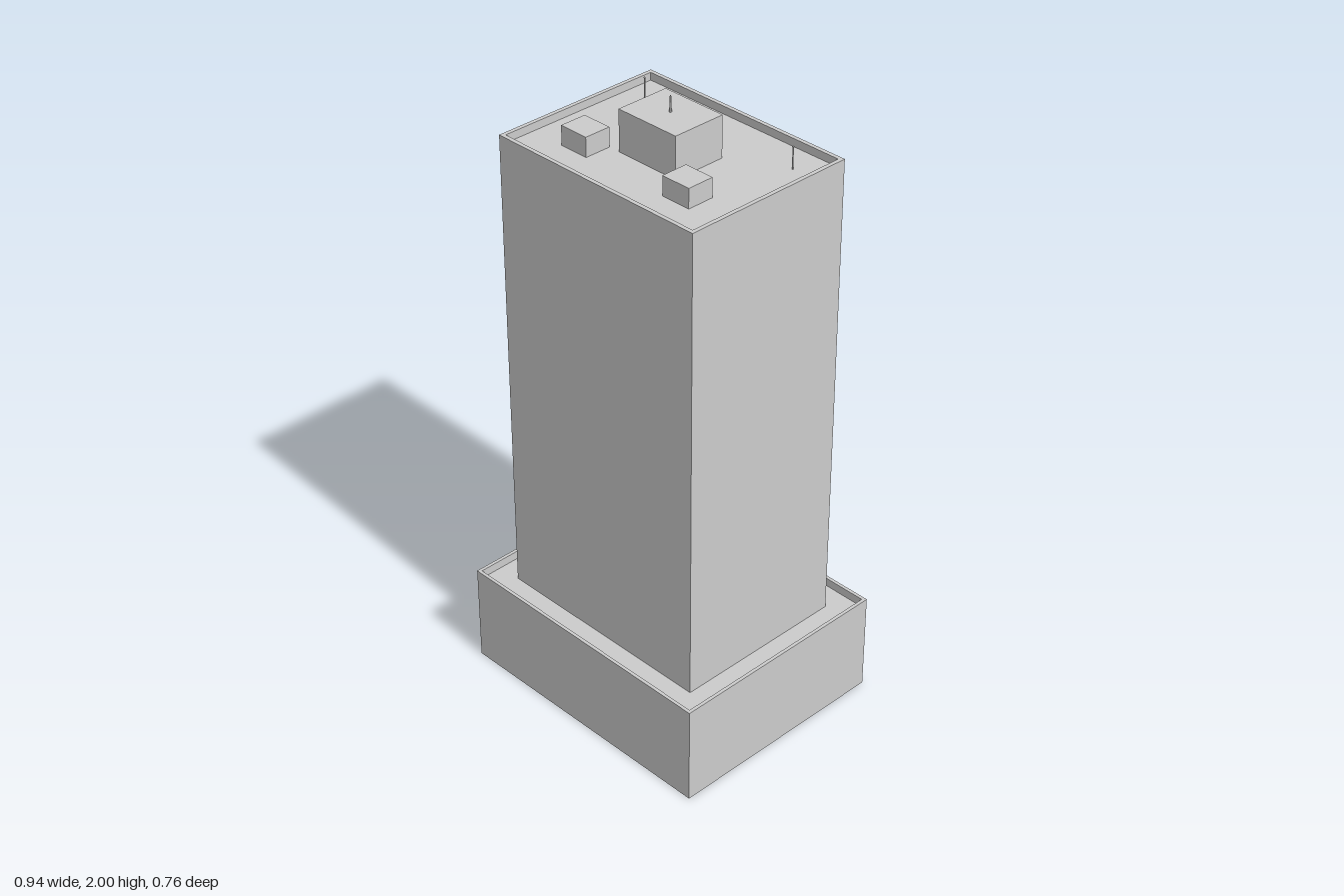
import * as THREE from 'three';

export function createModel() {
  const group = new THREE.Group();
  const mat = new THREE.MeshStandardMaterial({ color: 0xcccccc, flatShading: true });

  function add(geo, name, x, y, z) {
    const mesh = new THREE.Mesh(geo, mat);
    mesh.name = name;
    mesh.position.set(x, y, z);
    group.add(mesh);
  }

  // Box standing on height y0
  const block = (name, w, d, y0, y1, x = 0, z = 0) =>
    add(new THREE.BoxGeometry(w, y1 - y0, d), name, x, (y0 + y1) / 2, z);

  function rect(target, w, d) {
    target.moveTo(-w / 2, -d / 2);
    target.lineTo(w / 2, -d / 2);
    target.lineTo(w / 2, d / 2);
    target.lineTo(-w / 2, d / 2);
    target.closePath();
    return target;
  }

  // Raised rim around a flat deck
  function parapet(name, w, d, t, y0, y1) {
    const shape = rect(new THREE.Shape(), w, d);
    shape.holes.push(rect(new THREE.Path(), w - 2 * t, d - 2 * t));
    const geo = new THREE.ExtrudeGeometry(shape, { depth: y1 - y0, bevelEnabled: false });
    geo.rotateX(-Math.PI / 2);
    add(geo, name, 0, y0, 0);
  }

  // Podium and tower, each with a sunken deck
  block('podium', 0.936, 0.758, 0, 0.3);
  parapet('podiumParapet', 0.936, 0.758, 0.011, 0.3, 0.328);
  block('tower', 0.76, 0.58, 0.3, 1.818);
  parapet('towerParapet', 0.76, 0.58, 0.013, 1.818, 1.843);

  // Rooftop plant room and its mast
  block('plantRoom', 0.222, 0.178, 1.818, 1.95);
  add(new THREE.CylinderGeometry(0.002, 0.004, 0.05, 6), 'mast', 0, 1.975, 0);

  // Mirrored ventilation units and rear antennas
  for (const s of [-1, 1]) {
    block('ventUnit', 0.1, 0.088, 1.818, 1.88, s * 0.2, 0.132);
    add(new THREE.CylinderGeometry(0.002, 0.002, 0.07, 6), 'antenna', s * 0.29, 1.853, -0.18);
    add(new THREE.OctahedronGeometry(0.004), 'antennaTip', s * 0.29, 1.887, -0.18);
  }

  return group;
}
